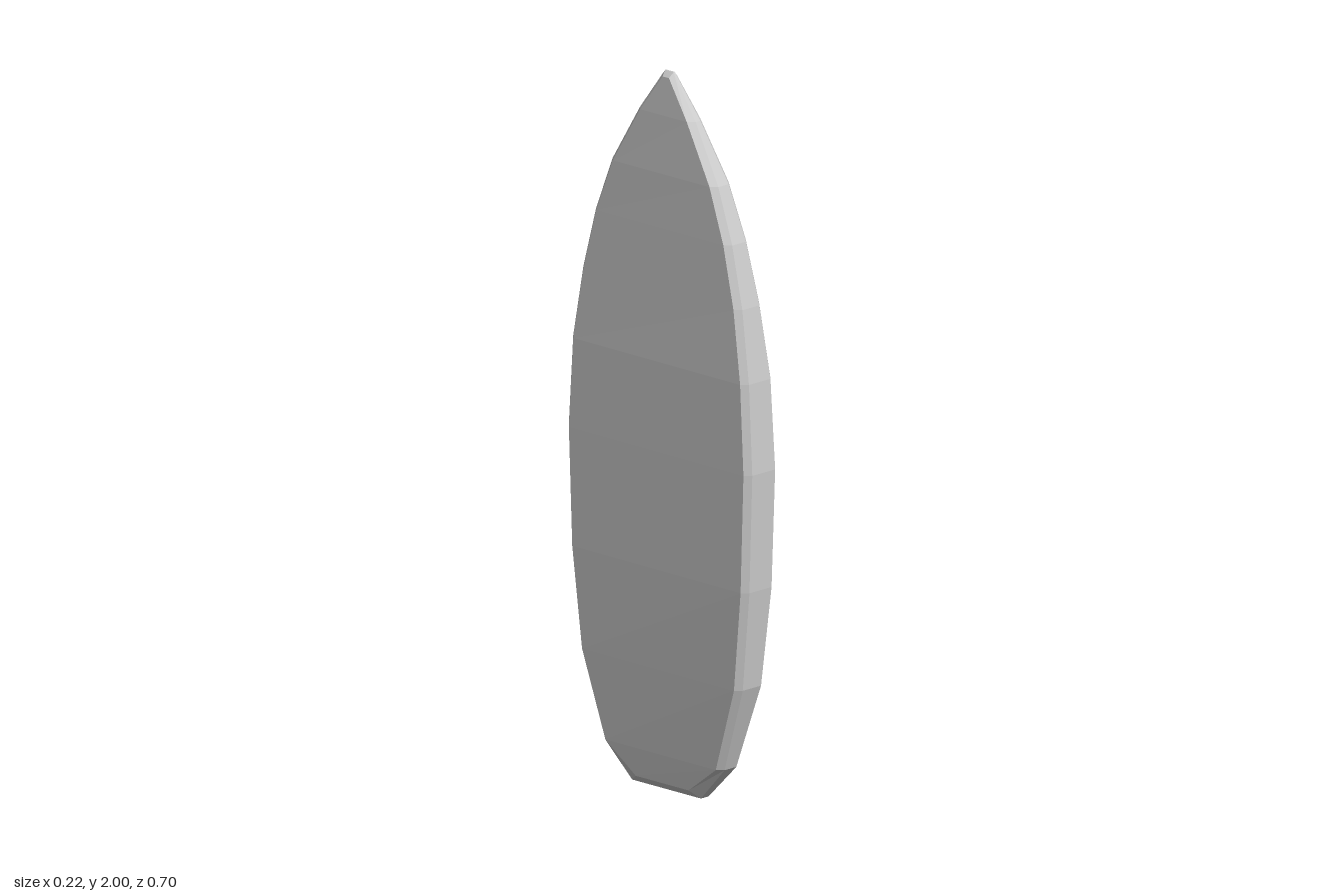
import * as THREE from 'three';

// Board stations from tail to nose: height, half width, half thickness
const STATIONS = [
  [0, 0.13, 0.03], [0.1, 0.226, 0.036], [0.34, 0.306, 0.046], [0.62, 0.338, 0.052],
  [0.95, 0.35, 0.053], [1.2, 0.335, 0.051], [1.4, 0.302, 0.044], [1.57, 0.258, 0.039],
  [1.72, 0.2, 0.034], [1.88, 0.105, 0.025], [2, 0.016, 0.016],
];
const CENTRE_X = -0.05;
const BEVEL = 0.017;

// Eight-sided section: two broad faces, two narrow rails and four bevels
function section([y, w, t], index) {
  const last = STATIONS.length - 1;
  const faceY = index === 0 ? 0.02 : index === last ? 1.985 : y;
  const faceW = index === 0 ? 0.1 : index === last ? 0.012 : w - BEVEL;
  const point = (sx, z, rail) => {
    const thick = t * (1 + 0.43 * z); // one rail is thicker than the other
    const x = rail ? Math.max(thick - BEVEL, 0.002) : thick;
    return [CENTRE_X + sx * x, rail ? y : faceY, z];
  };
  return [
    point(1, faceW, false), point(1, w, true), point(-1, w, true), point(-1, faceW, false),
    point(-1, -faceW, false), point(-1, -w, true), point(1, -w, true), point(1, -faceW, false),
  ];
}

function boardGeometry() {
  const rings = STATIONS.map(section);
  const positions = [];
  const quad = (a, b, c, d) => positions.push(...a, ...b, ...c, ...a, ...c, ...d);

  // Skin between neighbouring sections
  for (let r = 0; r < rings.length - 1; r++) {
    const low = rings[r], high = rings[r + 1];
    for (let i = 0; i < 8; i++) {
      const j = (i + 1) % 8;
      quad(low[j], low[i], high[i], high[j]);
    }
  }
  // Bevelled tail and nose caps
  const tail = rings[0], nose = rings[rings.length - 1];
  for (const [a, b, c, d] of [[1, 2, 5, 6], [0, 1, 6, 7], [2, 3, 4, 5]]) {
    quad(tail[a], tail[b], tail[c], tail[d]);
    quad(nose[d], nose[c], nose[b], nose[a]);
  }
  const geometry = new THREE.BufferGeometry();
  geometry.setAttribute('position', new THREE.Float32BufferAttribute(positions, 3));
  geometry.computeVertexNormals();
  return geometry;
}

// Swept fin outline, extruded across the board
function finGeometry() {
  const shape = new THREE.Shape();
  shape.moveTo(-0.02, 0.435);
  shape.lineTo(0.005, 0.435);
  shape.bezierCurveTo(0.06, 0.43, 0.125, 0.31, 0.106, 0.215);
  shape.quadraticCurveTo(0.1, 0.2, 0.088, 0.203);
  shape.bezierCurveTo(0.075, 0.25, 0.05, 0.258, 0.005, 0.26);
  shape.lineTo(-0.02, 0.26);
  const depth = 0.068;
  const geometry = new THREE.ExtrudeGeometry(shape, { depth, bevelEnabled: false, curveSegments: 14 });
  geometry.translate(0, 0, -depth / 2);
  return geometry;
}

export function createModel() {
  const group = new THREE.Group();
  group.name = 'surfboard';

  const board = new THREE.Mesh(
    boardGeometry(),
    new THREE.MeshStandardMaterial({ color: 0xcccccc, flatShading: true })
  );
  board.name = 'board';

  const fin = new THREE.Mesh(finGeometry(), new THREE.MeshStandardMaterial({ color: 0xcccccc }));
  fin.name = 'fin';

  group.add(board, fin);
  return group;
}
